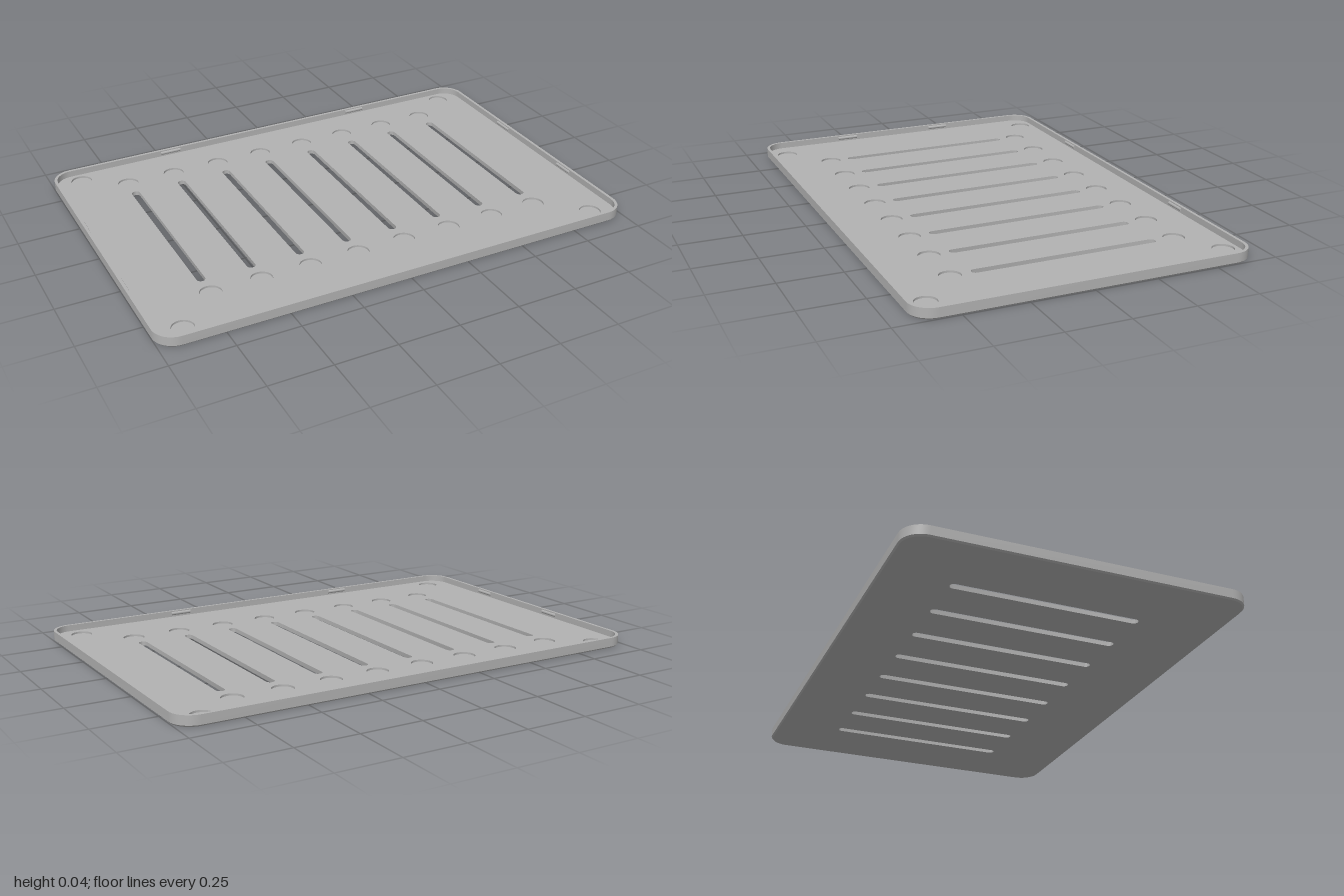
import * as THREE from 'three';
import { toCreasedNormals } from 'three/addons/utils/BufferGeometryUtils.js';

const HALF_X = 1, HALF_Z = 0.668, HEIGHT = 0.043;
const FLOOR = 0.017, CHAMFER = 0.006, WALL = 0.012, CORNER = 0.085;
const POCKET_Y = 0.009, SLOT_Z = -0.03;

// Counter-clockwise rounded rectangle seen from above; also makes slots and circles.
// Shape y is -z.
function loop(cx, cz, hx, hz, r, steps = 10) {
  const pts = [];
  [[1, 1], [-1, 1], [-1, -1], [1, -1]].forEach(([sx, sy], q) => {
    for (let i = 0; i <= steps; i++) {
      const a = (q + i / steps) * Math.PI / 2;
      const p = new THREE.Vector2(
        cx + sx * (hx - r) + r * Math.cos(a),
        -cz + sy * (hz - r) + r * Math.sin(a));
      const last = pts[pts.length - 1];
      if (!last || last.distanceTo(p) > 1e-6) pts.push(p);
    }
  });
  if (pts[0].distanceTo(pts[pts.length - 1]) < 1e-6) pts.pop();
  return pts;
}

// Horizontal face with holes, facing up or down
function face(outline, holes, y, up = true) {
  const shape = new THREE.Shape(outline);
  shape.holes = holes.map((h) => new THREE.Path(h));
  const g = new THREE.ShapeGeometry(shape);
  if (!up) {
    const idx = g.index.array;
    for (let i = 0; i < idx.length; i += 3) [idx[i], idx[i + 1]] = [idx[i + 1], idx[i]];
  }
  g.rotateX(-Math.PI / 2).translate(0, y, 0);
  g.computeVertexNormals();
  return g;
}

// Wall between two matching loops: faces outward when yA < yB, inward otherwise
function band(a, yA, b, yB) {
  const pos = [];
  for (let i = 0; i < a.length; i++) {
    const j = (i + 1) % a.length;
    const a0 = [a[i].x, yA, -a[i].y], a1 = [a[j].x, yA, -a[j].y];
    const b0 = [b[i].x, yB, -b[i].y], b1 = [b[j].x, yB, -b[j].y];
    pos.push(...a0, ...a1, ...b1, ...a0, ...b1, ...b0);
  }
  const g = new THREE.BufferGeometry();
  g.setAttribute('position', new THREE.Float32BufferAttribute(pos, 3));
  return toCreasedNormals(g, 0.6);
}

export function createModel() {
  const tray = new THREE.Group();
  tray.name = 'ventedTray';
  const grey = new THREE.MeshStandardMaterial({ color: 0xb2b2b2 });
  grey.name = 'grey plastic';
  const add = (name, geometry) => {
    const mesh = new THREE.Mesh(geometry, grey);
    mesh.name = name;
    tray.add(mesh);
    return mesh;
  };

  const inset = (d) => loop(0, 0, HALF_X - d, HALF_Z - d, CORNER - d);
  const outer = inset(0), inner = inset(WALL), base = inset(CHAMFER);

  // Eight vent slots, each with a round pocket at both ends
  const slots = [], pockets = [];
  for (let i = 0; i < 8; i++) {
    const x = (i - 3.5) * 0.204;
    slots.push(loop(x, SLOT_Z, 0.017, 0.378, 0.017, 6));
    for (const s of [-1, 1]) pockets.push(loop(x, SLOT_Z + s * 0.459, 0.043, 0.043, 0.043, 8));
  }
  // Corner pockets
  for (const x of [-0.884, 0.884])
    for (const z of [-0.598, 0.586]) pockets.push(loop(x, z, 0.043, 0.043, 0.043, 8));

  // Tray shell
  add('underside', face(base, slots, 0, false));
  add('bottomChamfer', band(base, 0, outer, CHAMFER));
  add('outerWall', band(outer, CHAMFER, outer, HEIGHT));
  add('rim', face(outer, [inner], HEIGHT));
  add('innerWall', band(inner, HEIGHT, inner, FLOOR));
  add('floor', face(inner, [...slots, ...pockets], FLOOR));

  // Slot and pocket interiors
  slots.forEach((s) => add('slotWall', band(s, FLOOR, s, 0)));
  pockets.forEach((p) => {
    add('pocketWall', band(p, FLOOR, p, POCKET_Y));
    add('pocketBottom', face(p, [], POCKET_Y));
  });

  // Small snap ridges on the inner walls
  const ridge = new THREE.CylinderGeometry(0.008, 0.008, 0.09, 12);
  const addRidge = (x, z, alongX) => {
    const m = add('snapRidge', ridge);
    m.position.set(x, 0.031, z);
    if (alongX) m.rotation.z = Math.PI / 2;
    else m.rotation.x = Math.PI / 2;
  };
  const wx = HALF_X - WALL + 0.003, wz = HALF_Z - WALL + 0.003;
  for (const x of [-0.46, 0.455]) addRidge(x, -wz, true);
  for (const x of [-0.403, 0.4]) addRidge(x, wz, true);
  for (const x of [-wx, wx]) for (const z of [-0.195, 0.263]) addRidge(x, z, false);

  return tray;
}
